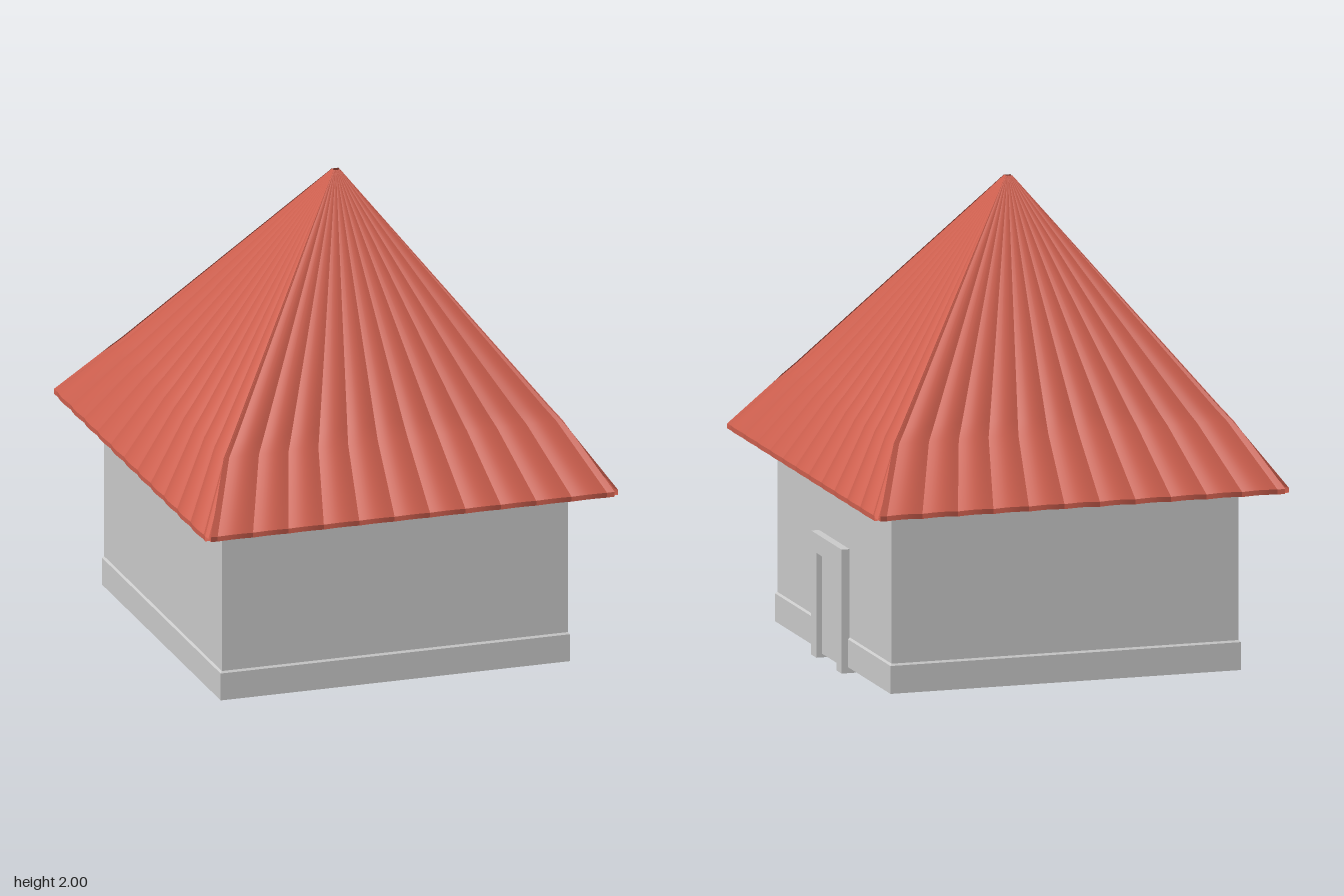
import * as THREE from 'three';
import { toCreasedNormals } from 'three/addons/utils/BufferGeometryUtils.js';

const stone = new THREE.MeshStandardMaterial({ color: 0xcccccc, flatShading: true });
const tiles = new THREE.MeshStandardMaterial({ color: 0xcd5f4e, side: THREE.DoubleSide });

function mesh(name, geometry, material = stone) {
  const m = new THREE.Mesh(geometry, material);
  m.name = name;
  return m;
}

// Box given by its lower and upper corners
function block(name, [x0, y0, z0], [x1, y1, z1]) {
  const m = mesh(name, new THREE.BoxGeometry(x1 - x0, y1 - y0, z1 - z0));
  m.position.set((x0 + x1) / 2, (y0 + y1) / 2, (z0 + z1) / 2);
  return m;
}

// Four-sided solid from a profile of [half width, height]
function squareLathe(profile) {
  const points = profile.map(([r, y]) => new THREE.Vector2(r * Math.SQRT2, y));
  return new THREE.LatheGeometry(points, 4, Math.PI / 4);
}

// Rippled roof slope facing +z; rows are [distance out, height, half width],
// running down the underside, around the eave and up the outside
function slopeGeometry(rows) {
  const columns = 114, ripples = 11.4, depth = 0.013;
  const positions = [], index = [];
  for (const [out, y, half] of rows) {
    for (let i = 0; i <= columns; i++) {
      const u = (i / columns) * 2 - 1;
      const wave = Math.abs(Math.cos(u * ripples / 2 * Math.PI)) - 1;
      const dip = wave * depth * Math.min(1, half / 0.7);
      positions.push(u * half, y + dip * 0.4, out + dip * 0.8);
    }
  }
  for (let j = 0; j < rows.length - 1; j++) {
    for (let i = 0; i < columns; i++) {
      const a = j * (columns + 1) + i, b = a + columns + 1;
      index.push(a, a + 1, b + 1, a, b + 1, b);
    }
  }
  const g = new THREE.BufferGeometry();
  g.setAttribute('position', new THREE.Float32BufferAttribute(positions, 3));
  g.setIndex(index);
  return toCreasedNormals(g, 0.4);
}

// Full slope profile from the eave reach and eave half width
function slopeRows(reach, half) {
  return [
    [0.005, 1.975, 0.01], [0.71, 1.05, 0.72], [reach - 0.02, 0.804, half],
    [reach, 0.804, half], [reach, 0.825, half],
    [0.735, 1.07, 0.735], [0.69, 1.125, 0.69], [0.012, 2.0, 0.015],
  ];
}

export function createModel() {
  const model = new THREE.Group();
  model.name = 'house';

  // Walls with a shallow plinth, and beams under the long eaves
  model.add(mesh('walls', squareLathe([
    [0, 0.025], [0.757, 0.025], [0.757, 0.142], [0.75, 0.15], [0.75, 0.98], [0, 0.98],
  ])));
  for (const s of [-1, 1]) {
    const beam = block('eaveBeam', [-0.75, 0.9, -0.03], [0.75, 0.96, 0.03]);
    beam.position.z = s * 0.77;
    model.add(beam);
  }

  // Roof: flared slopes front and back, straighter ones at the sides
  const roof = new THREE.Group();
  roof.name = 'roof';
  const flared = slopeGeometry(slopeRows(0.985, 0.875));
  const straight = slopeGeometry(slopeRows(0.9, 0.965));
  for (let k = 0; k < 4; k++) {
    const slope = mesh('roofSlope', k % 2 ? straight : flared, tiles);
    slope.rotation.y = k * Math.PI / 2;
    roof.add(slope);
  }
  model.add(roof);

  // Doorway on the left side
  const doorway = new THREE.Group();
  doorway.name = 'doorway';
  doorway.add(block('lintel', [0.71, 0.44, -0.2], [0.785, 0.52, 0.2]));
  for (const s of [-1, 1]) {
    const post = block('doorPost', [0.71, 0, -0.035], [0.785, 0.44, 0.035]);
    post.position.z = s * 0.165;
    doorway.add(post);
  }
  doorway.add(block('door', [0.74, 0.015, -0.13], [0.76, 0.44, 0.13]));
  model.add(doorway);

  return model;
}
